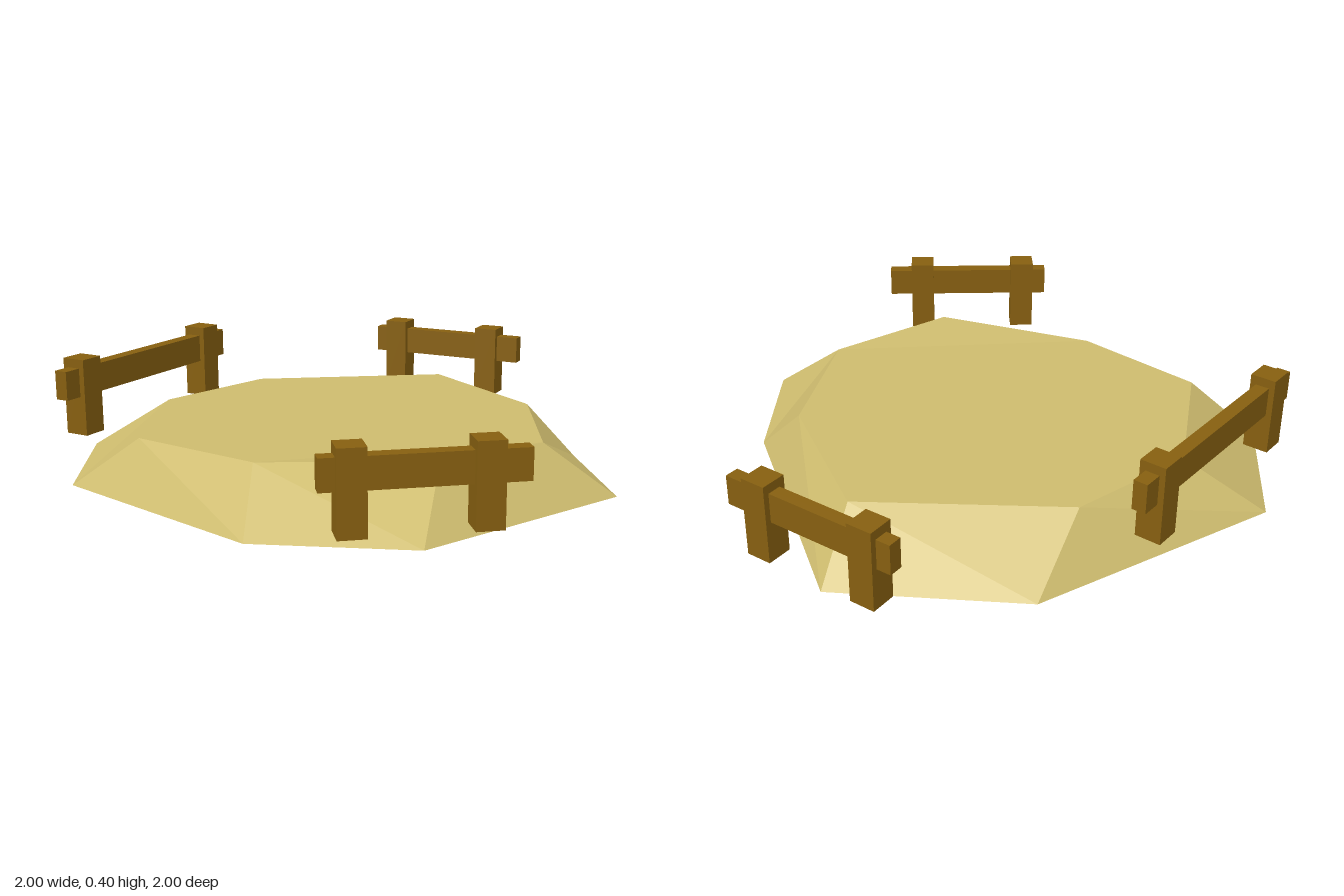
import * as THREE from 'three';

const sand = new THREE.MeshStandardMaterial({ color: 0xcdbb6e, flatShading: true, side: THREE.DoubleSide });
sand.name = 'sand';
const wood = new THREE.MeshStandardMaterial({ color: 0x865f10, flatShading: true, side: THREE.DoubleSide });
wood.name = 'wood';

// Rim corners as [x, y, z], running clockwise seen from above
const BASE = [[-0.59, 0, -0.81], [0.36, 0, -0.68], [0.80, 0, -0.45], [0.89, 0.03, 0.45],
  [0.47, 0.005, 0.82], [-0.40, 0, 1.0], [-0.85, 0, 0.71], [-0.945, 0, -0.235]];
const TOP = [[-0.41, 0.18, -0.64], [0.19, 0.18, -0.59], [0.62, 0.18, -0.27], [0.66, 0.205, 0.21],
  [0.25, 0.18, 0.65], [-0.23, 0.18, 0.82], [-0.67, 0.18, 0.48], [-0.77, 0.18, 0.01]];

// Open-bottomed faceted mound
function createMound() {
  const n = BASE.length, pos = [];
  const tri = (a, b, c) => pos.push(...a, ...b, ...c);
  for (let i = 0; i < n; i++) {
    const j = (i + 1) % n;
    tri(BASE[i], TOP[i], TOP[j]);
    tri(BASE[i], TOP[j], BASE[j]);
  }
  // top fan starts beside the raised corner, so only one facet tilts
  const pivot = 2;
  for (let k = 1; k < n - 1; k++) {
    tri(TOP[pivot], TOP[(pivot + k + 1) % n], TOP[(pivot + k) % n]);
  }
  const geo = new THREE.BufferGeometry();
  geo.setAttribute('position', new THREE.Float32BufferAttribute(pos, 3));
  geo.computeVertexNormals();
  const mesh = new THREE.Mesh(geo, sand);
  mesh.name = 'mound';
  return mesh;
}

// Post with no underside
function postGeometry(size, height) {
  const geo = new THREE.BoxGeometry(size, height, size);
  const idx = Array.from(geo.index.array);
  idx.splice(18, 6);
  geo.setIndex(idx);
  geo.clearGroups();
  return geo;
}

// Two posts and a rail; dir is the rail direction in plan [x, z]
function createFence(name, { x, z, dir, ground, spacing, length, shift }) {
  const fence = new THREE.Group();
  fence.name = name;
  fence.position.set(x, ground, z);
  fence.rotation.y = Math.atan2(-dir[1], dir[0]);
  const rail = new THREE.Mesh(new THREE.BoxGeometry(length, 0.105, 0.05), wood);
  rail.name = 'rail';
  rail.position.set(shift, 0.195, 0);
  fence.add(rail);
  for (const s of [-1, 1]) {
    const post = new THREE.Mesh(postGeometry(0.092, 0.28), wood);
    post.name = 'post';
    post.position.set(s * spacing / 2, 0.14, 0);
    fence.add(post);
  }
  return fence;
}

export function createModel() {
  const model = new THREE.Group();
  model.name = 'fencedMound';
  model.add(
    createMound(),
    createFence('frontRightFence', { x: -0.777, z: 0.52, dir: [0.42, 0.907], ground: 0.12, spacing: 0.715, length: 0.943, shift: 0 }),
    createFence('backFence', { x: -0.592, z: -0.812, dir: [0.88, -0.475], ground: 0.07, spacing: 0.418, length: 0.65, shift: 0.018 }),
    createFence('leftFence', { x: 0.831, z: 0.425, dir: [0.422, -0.907], ground: 0.07, spacing: 0.418, length: 0.65, shift: 0.018 }),
  );
  return model;
}
